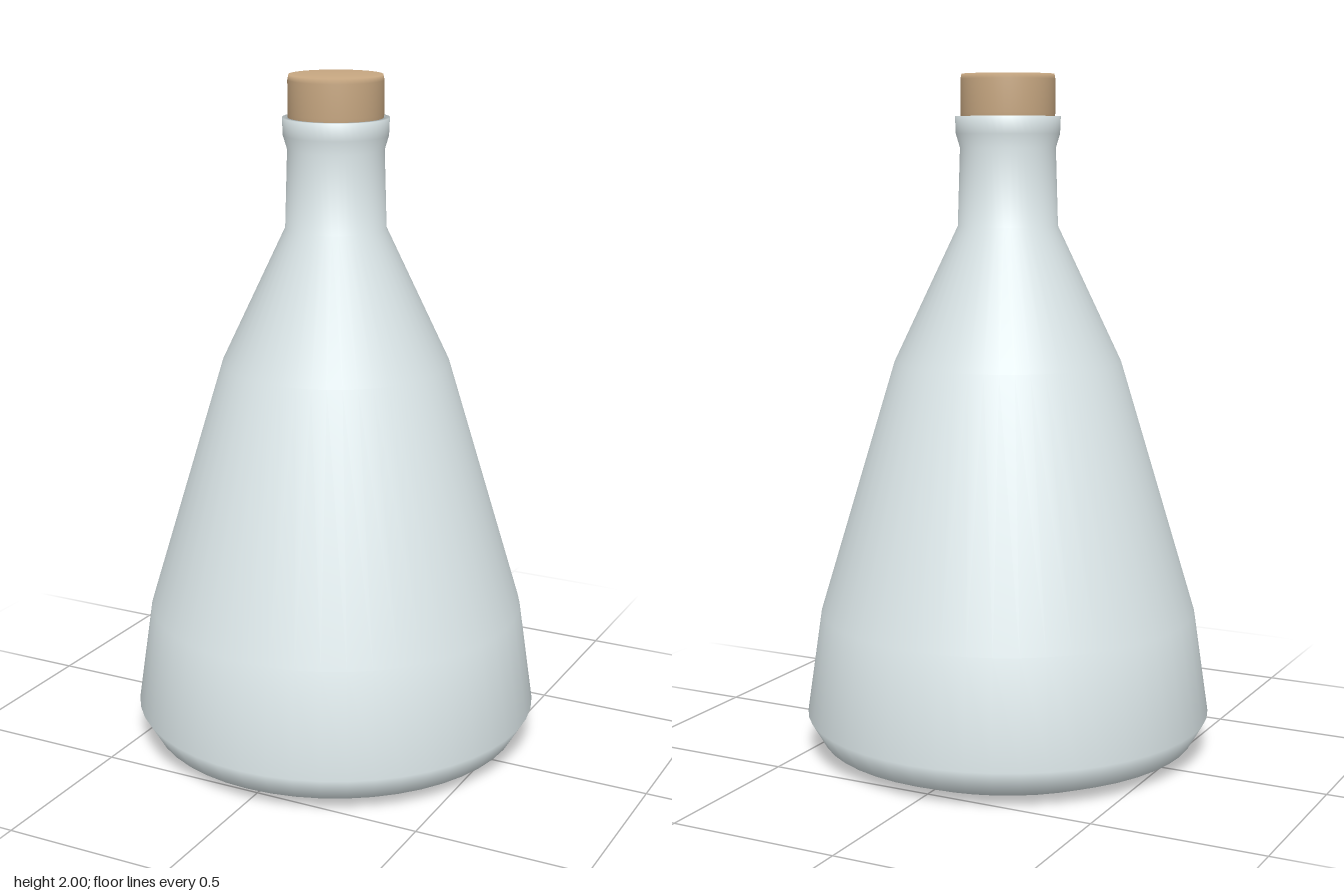
import * as THREE from 'three';

// Surface of revolution from [radius, height] pairs, listed bottom to top
function turned(name, profile, color) {
  const points = profile.map(([r, y]) => new THREE.Vector2(r, y));
  const material = new THREE.MeshStandardMaterial({ color, side: THREE.DoubleSide });
  const mesh = new THREE.Mesh(new THREE.LatheGeometry(points, 48), material);
  mesh.name = name;
  return mesh;
}

export function createModel() {
  const group = new THREE.Group();
  group.name = 'corkedFlask';

  // Conical body with chamfered base, neck and collar, lip turned into the mouth
  group.add(turned('flask', [
    [0, 0], [0.46, 0], [0.558, 0.04], [0.602, 0.115],
    [0.557, 0.425], [0.333, 1.17], [0.146, 1.565],
    [0.139, 1.79], [0.151, 1.83], [0.153, 1.88],
    [0.135, 1.88], [0.131, 1.79],
  ], 0xdfeaec));

  // Stopper seated in the mouth
  group.add(turned('cork', [
    [0, 1.74], [0.126, 1.74], [0.137, 1.89], [0.137, 1.985], [0.134, 2], [0, 2],
  ], 0xc8a882));

  return group;
}
